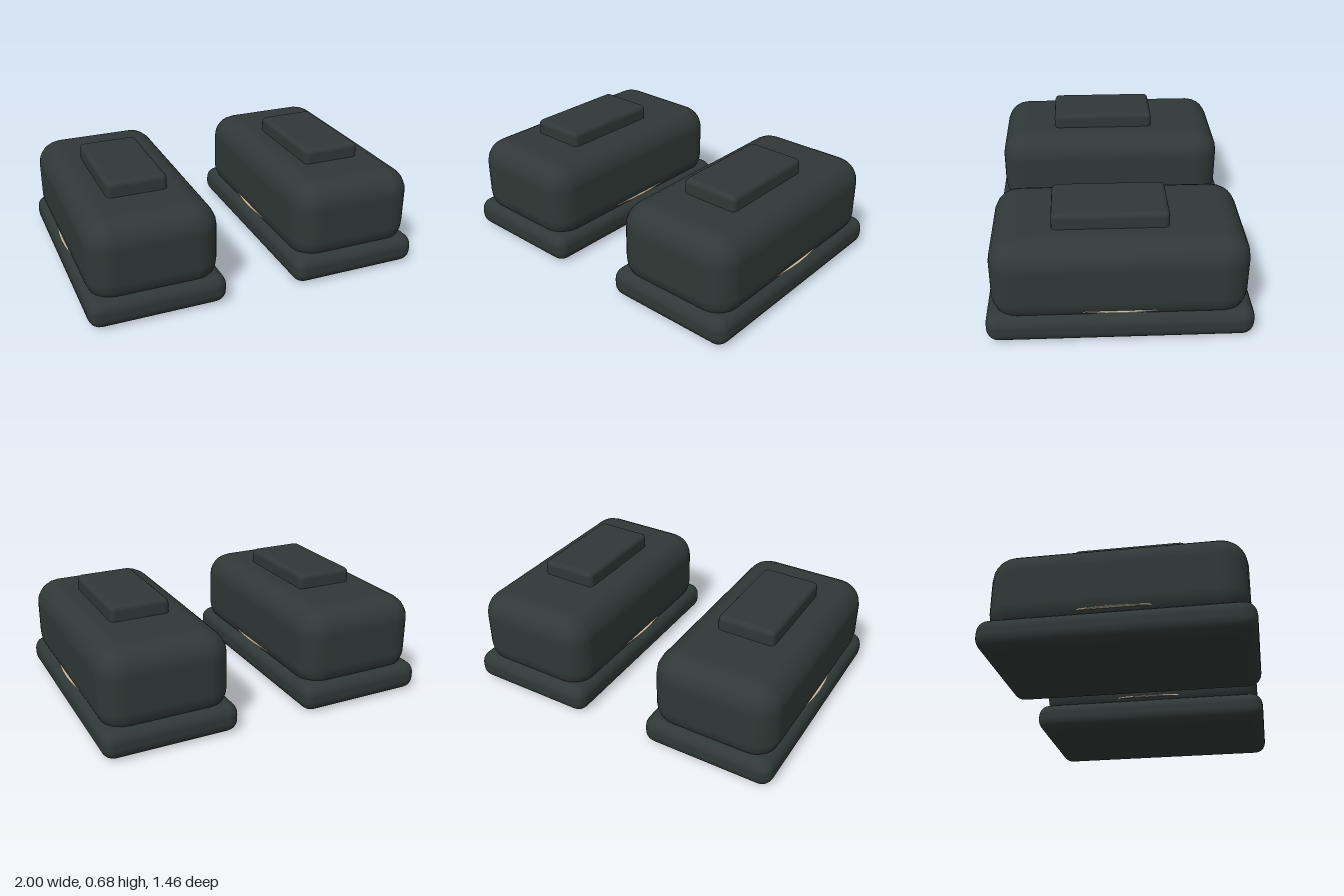
import * as THREE from 'three';
import { RoundedBoxGeometry } from 'three/addons/geometries/RoundedBoxGeometry.js';

export function createModel() {
  const dark = new THREE.MeshStandardMaterial({ name: 'dark slate', color: 0x2f3937 });
  const beige = new THREE.MeshStandardMaterial({ name: 'beige', color: 0xc8b79c });

  const model = new THREE.Group();
  model.name = 'boxPair';

  // Rounded block spanning y0..y1 and z0..z1, centred on its unit in x
  function block(name, width, y0, y1, z0, z1, radius, segments) {
    const geometry = new RoundedBoxGeometry(width, y1 - y0, z1 - z0, segments, radius);
    const mesh = new THREE.Mesh(geometry, dark);
    mesh.name = name;
    mesh.position.set(0, (y0 + y1) / 2, (z0 + z1) / 2);
    return mesh;
  }

  for (const side of [-1, 1]) {
    const unit = new THREE.Group();
    unit.name = side > 0 ? 'leftUnit' : 'rightUnit';
    unit.position.x = side * 0.605;

    unit.add(block('base', 0.79, 0, 0.17, -0.73, 0.725, 0.07, 3));
    unit.add(block('body', 0.75, 0.1, 0.588, -0.695, 0.695, 0.145, 3));
    unit.add(block('topPad', 0.35, 0.52, 0.675, -0.27, 0.36, 0.03, 2));

    // Thin oval seam plate that just breaks through the long sides
    const seam = new THREE.Mesh(new THREE.CylinderGeometry(1, 1, 0.006, 48), beige);
    seam.name = 'seamPlate';
    seam.scale.set(0.38, 1, 0.64);
    seam.position.y = 0.187;
    unit.add(seam);

    model.add(unit);
  }
  return model;
}
